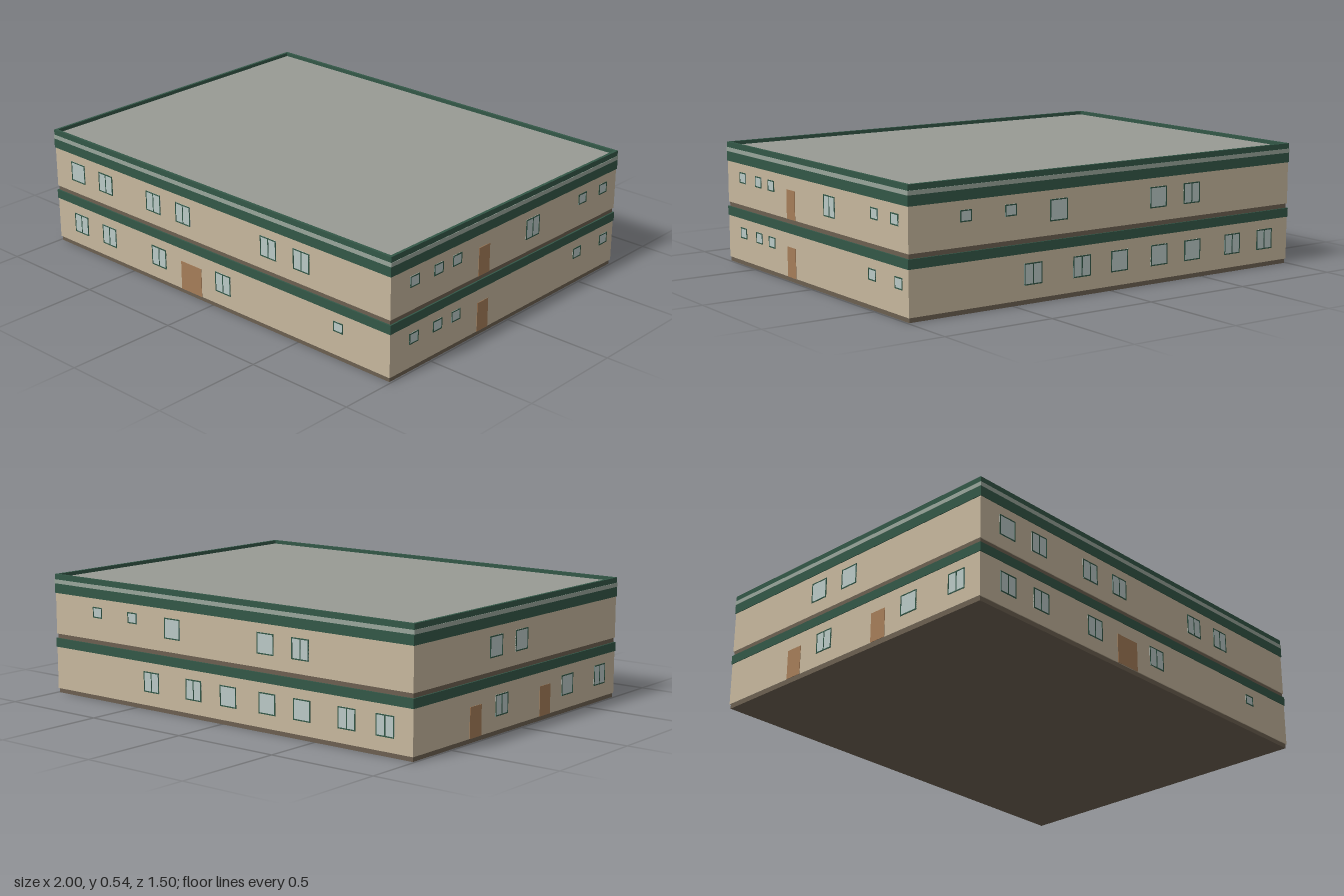
import * as THREE from 'three';

const mat = (name, color) => {
  const m = new THREE.MeshStandardMaterial({ color });
  m.name = name;
  return m;
};

export function createModel() {
  const wall = mat('sand wall', 0xc6b79d);
  const green = mat('dark green trim', 0x335747);
  const plinth = mat('brown plinth', 0x6b5f50);
  const stripe = mat('pale stripe', 0x98a59b);
  const roofGrey = mat('roof grey', 0x989a94);
  const glass = mat('window glass', 0xb9c8c5);
  const wood = mat('door wood', 0xa57d59);

  const model = new THREE.Group();
  model.name = 'building';

  const box = (parent, name, material, w, h, d, x, y, z) => {
    const mesh = new THREE.Mesh(new THREE.BoxGeometry(w, h, d), material);
    mesh.name = name;
    mesh.position.set(x, y, z);
    parent.add(mesh);
    return mesh;
  };

  // Stacked storey layers: name, material, inset from the footprint, bottom, top
  const layers = [
    ['lowerPlinth', plinth, 0.008, 0, 0.02],
    ['lowerWall', wall, 0.004, 0.02, 0.21],
    ['lowerBand', green, 0.001, 0.21, 0.25],
    ['upperPlinth', plinth, 0.008, 0.25, 0.27],
    ['upperWall', wall, 0.004, 0.27, 0.455],
    ['upperBand', green, 0.001, 0.455, 0.498],
    ['corniceStripe', stripe, 0, 0.498, 0.516],
  ];
  for (const [name, m, inset, y0, y1] of layers) {
    box(model, name, m, 2 - inset * 2, y1 - y0, 1.5 - inset * 2, 0, (y0 + y1) / 2, 0);
  }

  // Parapet ring around the sunken flat roof
  const rectangle = (P, w, d) => new P([
    new THREE.Vector2(-w, -d), new THREE.Vector2(w, -d),
    new THREE.Vector2(w, d), new THREE.Vector2(-w, d),
  ]);
  const ring = rectangle(THREE.Shape, 0.998, 0.748);
  ring.holes.push(rectangle(THREE.Path, 0.985, 0.735));
  const parapet = new THREE.Mesh(
    new THREE.ExtrudeGeometry(ring, { depth: 0.024, bevelEnabled: false }), green);
  parapet.name = 'parapet';
  parapet.rotation.x = -Math.PI / 2;
  parapet.position.y = 0.516;
  model.add(parapet);
  box(model, 'roof', roofGrey, 1.97, 0.008, 1.47, 0, 0.52, 0);

  // Each facade is built facing +z in its own group, then turned into place
  const addWindow = (side, [u, size, y, mullion]) => {
    const [w, h] = size;
    const g = new THREE.Group();
    g.name = 'window';
    g.position.set(u, y, 0);
    side.add(g);
    const t = 0.005;
    box(g, 'pane', glass, w, h, 0.003, 0, 0, 0);
    for (const s of [-1, 1]) {
      box(g, 'frameSide', green, t, h, 0.005, s * (w - t) / 2, 0, 0);
      box(g, 'frameRail', green, w, t, 0.005, 0, s * (h - t) / 2, 0);
    }
    if (mullion) box(g, 'mullion', green, t, h, 0.0048, 0, 0, 0);
  };

  const large = [0.09, 0.09];
  const small = [0.056, 0.048];
  const HI = 0.372, LO = 0.124;            // centres of large windows
  const HI_S = 0.393, LO_S = 0.146;        // centres of small windows

  // Windows: position along the wall, size, height, mullion. Doors: position, width, bottom, top
  const facades = [
    {
      name: 'frontFacade', angle: 0, distance: 0.746,
      windows: [
        [-0.845, large, HI, 0], [-0.66, large, HI, 1], [-0.35, large, HI, 1],
        [-0.165, large, HI, 1], [0.34, large, HI, 1], [0.525, large, HI, 1],
        [-0.84, large, LO, 1], [-0.65, large, LO, 1], [-0.325, large, LO, 1],
        [0.07, large, LO, 1], [0.725, [0.052, 0.045], 0.147, 0],
      ],
      doors: [[-0.122, 0.124, 0.02, 0.15]],
    },
    {
      name: 'rightFacade', angle: Math.PI / 2, distance: 0.996,
      windows: [
        [-0.605, small, HI_S, 0], [-0.46, small, HI_S, 0], [-0.345, small, HI_S, 0],
        [0.15, large, HI, 1], [0.5, small, HI_S, 0], [0.65, small, HI_S, 0],
        [-0.605, small, LO_S, 0], [-0.46, small, LO_S, 0], [-0.345, small, LO_S, 0],
        [0.48, small, LO_S, 0], [0.675, small, LO_S, 0],
      ],
      doors: [[-0.172, 0.07, 0.27, 0.396], [-0.172, 0.07, 0.02, 0.15]],
    },
    {
      name: 'backFacade', angle: Math.PI, distance: 0.746,
      windows: [
        [-0.73, small, HI_S, 0], [-0.515, small, HI_S, 0], [-0.277, large, HI, 0],
        [0.247, large, HI, 0], [0.432, large, HI, 1],
        [-0.405, large, LO, 1], [-0.157, large, LO, 1], [0.04, large, LO, 0],
        [0.255, large, LO, 0], [0.44, large, LO, 0], [0.67, large, LO, 1],
        [0.86, large, LO, 1],
      ],
      doors: [],
    },
    {
      name: 'leftFacade', angle: -Math.PI / 2, distance: 0.996,
      windows: [
        [-0.19, large, HI, 0], [-0.005, large, HI, 0],
        [-0.145, large, LO, 1], [0.355, large, LO, 0], [0.62, large, LO, 1],
      ],
      doors: [[-0.33, 0.08, 0.02, 0.15], [0.18, 0.08, 0.02, 0.15]],
    },
  ];

  for (const f of facades) {
    const side = new THREE.Group();
    side.name = f.name;
    side.rotation.y = f.angle;
    side.position.set(Math.sin(f.angle) * f.distance, 0, Math.cos(f.angle) * f.distance);
    model.add(side);
    f.windows.forEach((w) => addWindow(side, w));
    for (const [u, w, y0, y1] of f.doors) {
      box(side, 'door', wood, w, y1 - y0, 0.004, u, (y0 + y1) / 2, 0);
    }
  }

  return model;
}
